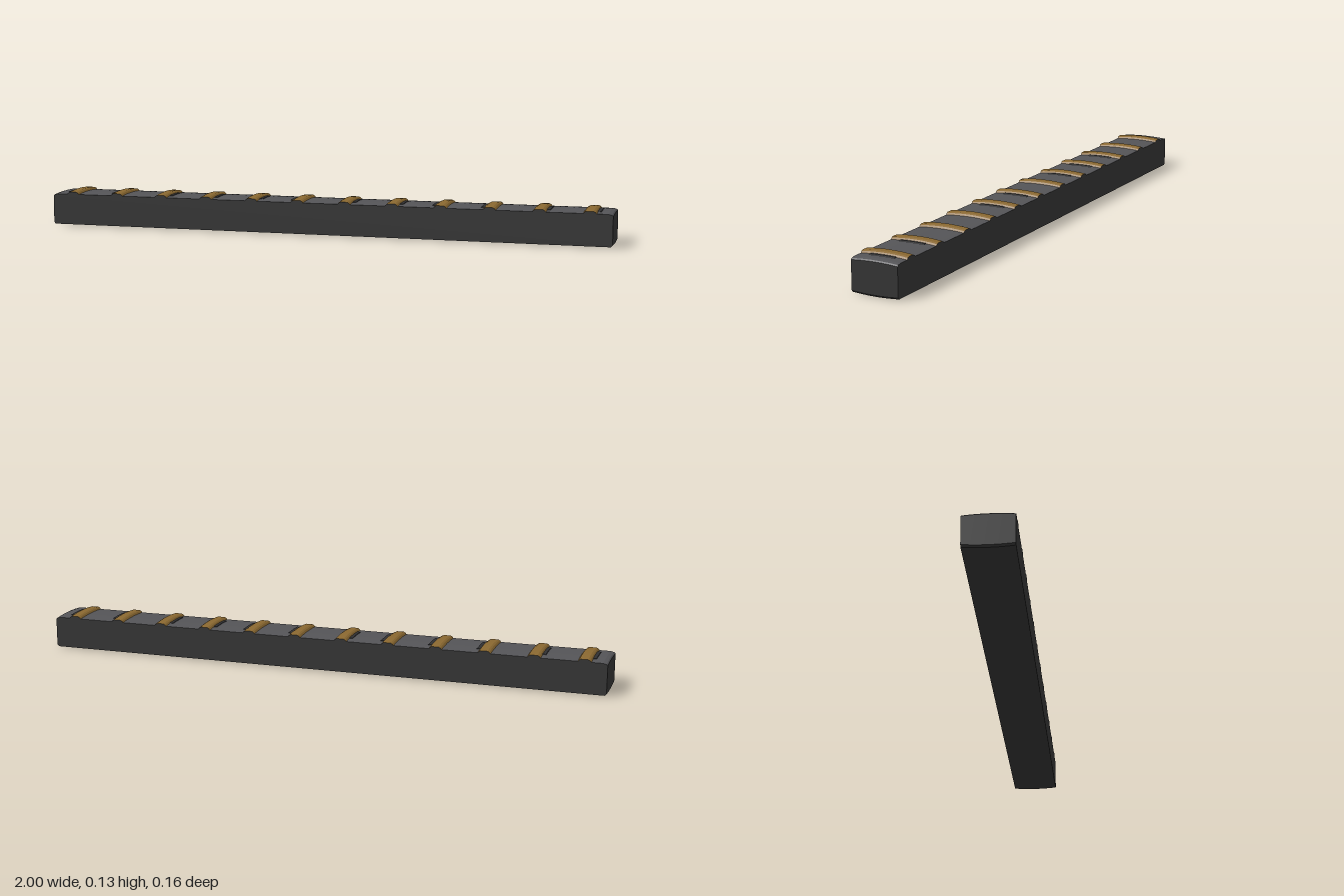
import * as THREE from 'three';

const HALF = 0.082; // half the bar's width in z
const mat = (name, color) => {
  const m = new THREE.MeshStandardMaterial({ color });
  m.name = name;
  return m;
};

// Extrudes an x-y profile across the bar, then crowns its top and bottom along z
function crowned(points, halfDepth, crown) {
  const shape = new THREE.Shape(points.map(([x, y]) => new THREE.Vector2(x, y)));
  const geo = new THREE.ExtrudeGeometry(shape, { depth: halfDepth * 2, steps: 12, bevelEnabled: false });
  geo.translate(0, 0, -halfDepth);
  const p = geo.attributes.position;
  for (let i = 0; i < p.count; i++) {
    const t = p.getZ(i) / HALF;
    const side = p.getY(i) > 0.06 ? 1 : -1;
    p.setY(i, p.getY(i) + side * crown * (1 - t * t));
  }
  geo.computeVertexNormals();
  return geo;
}

export function createModel() {
  const group = new THREE.Group();
  const charcoal = mat('charcoal', 0x343434);
  const slate = mat('slate grey', 0x545457);
  const bronze = mat('bronze', 0x8a6830);
  const black = mat('worn black', 0x303032);

  const add = (name, geo, material, x = 0) => {
    const mesh = new THREE.Mesh(geo, material);
    mesh.name = name;
    mesh.position.x = x;
    group.add(mesh);
  };

  // Main bar with slightly eased lower corners
  add('bar', crowned([
    [-0.994, 0.004], [0.994, 0.004], [1, 0.01], [1, 0.106], [-1, 0.106], [-1, 0.01],
  ], HALF, 0.004), charcoal);

  // Paler top skin with rounded ends
  add('deck', crowned([
    [-1, 0.106], [1, 0.106], [0.996, 0.11], [0.985, 0.113], [-0.985, 0.113], [-0.996, 0.11],
  ], HALF, 0.004), [charcoal, slate]);

  // Raised cross ridges, each with a dark worn patch at its foot
  const ridge = crowned([
    [-0.023, 0.112], [0.023, 0.112], [0.018, 0.118], [0.012, 0.121], [-0.012, 0.121], [-0.018, 0.118],
  ], HALF, 0.005);
  const patch = crowned([
    [-0.008, 0.112], [0.008, 0.112], [0.006, 0.1145], [-0.006, 0.1145],
  ], 0.045, 0.004);
  const patchSides = [-1, -1, 1, 1, 1, -1, 1, 1, -1, -1, 1, 1];
  patchSides.forEach((side, i) => {
    const x = (i - 5.5) * 0.168;
    add('ridge', ridge, [charcoal, bronze], x);
    add('wornPatch', patch, black, x + side * 0.027);
  });

  return group;
}
